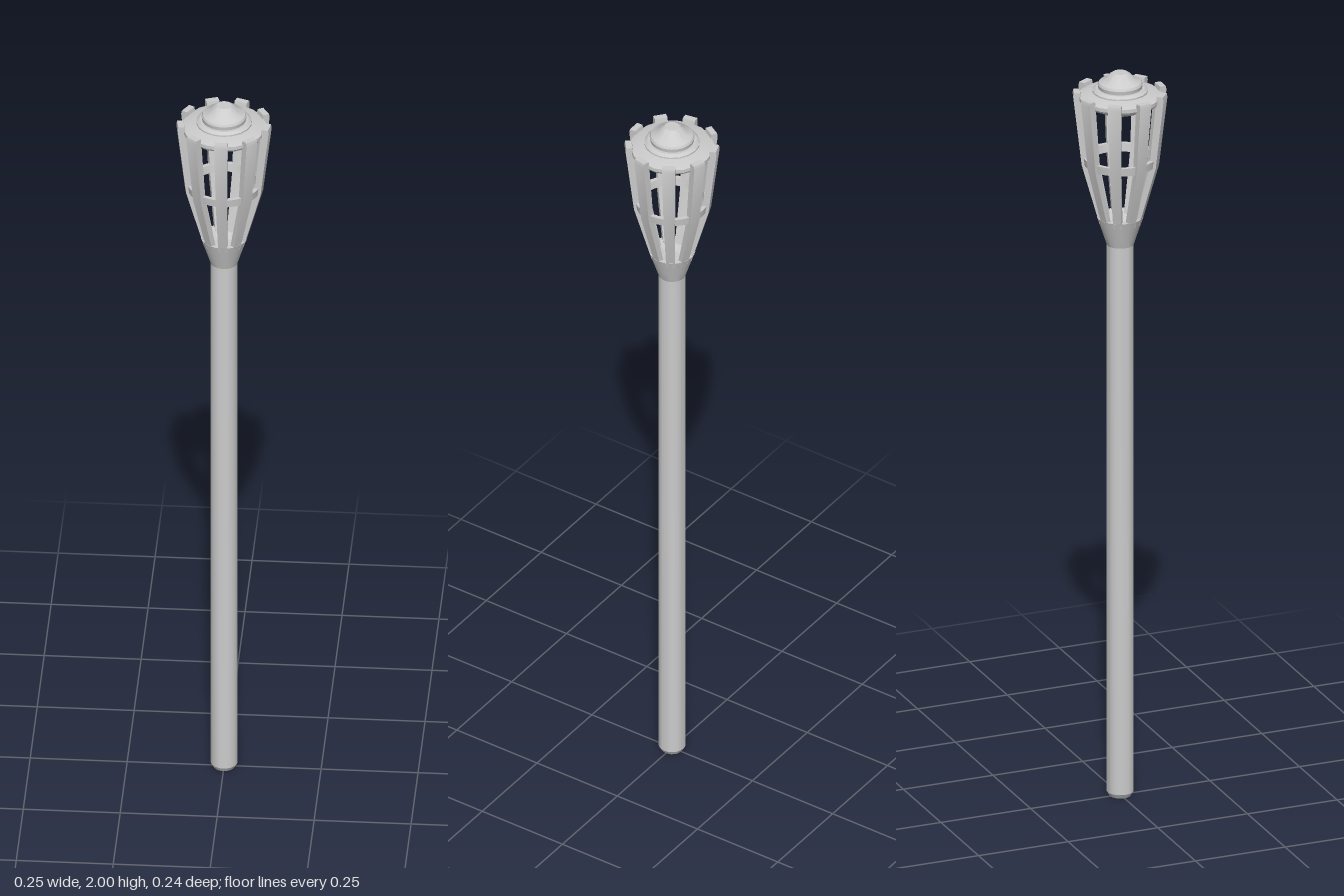
import * as THREE from 'three';
import { toCreasedNormals } from 'three/addons/utils/BufferGeometryUtils.js';

const SLATS = 9;

export function createModel() {
  const model = new THREE.Group();
  const material = new THREE.MeshStandardMaterial({ color: 0xcccccc });

  const add = (name, geometry, parent = model) => {
    const mesh = new THREE.Mesh(toCreasedNormals(geometry, 0.5), material);
    mesh.name = name;
    parent.add(mesh);
    return mesh;
  };
  // Profiles are [radius, height] pairs, listed from bottom to top on the outside
  const lathe = (points, sides) =>
    new THREE.LatheGeometry(points.map(([r, y]) => new THREE.Vector2(r, y)), sides);

  // Pole with a chamfered foot, flaring into a shallow bowl
  add('pole', lathe([[0, 0], [0.028, 0], [0.035, 0.012], [0.035, 1.53]], 24));
  add('flaredSocket', lathe([
    [0.035, 1.525], [0.043, 1.55], [0.06, 1.602], [0.05, 1.602], [0.03, 1.575], [0, 1.575],
  ], 24));

  // Open ring that ties the slats together halfway up
  add('middleRing', lathe([
    [0.082, 1.748], [0.093, 1.748], [0.096, 1.77], [0.085, 1.77], [0.082, 1.748],
  ], 36));

  // Bent slat: side profile extruded across its width, narrower at the foot
  const profile = new THREE.Shape([
    [0.04, 1.585], [0.054, 1.585], [0.1, 1.75], [0.122, 1.94],
    [0.12, 1.95], [0.104, 1.95], [0.102, 1.94], [0.083, 1.75],
  ].map(([r, y]) => new THREE.Vector2(r, y)));
  const width = 0.034;
  const slat = new THREE.ExtrudeGeometry(profile, { depth: width, bevelEnabled: false });
  slat.translate(0, 0, -width / 2).rotateY(-Math.PI / 2);
  const p = slat.attributes.position;
  for (let i = 0; i < p.count; i++) {
    const t = THREE.MathUtils.clamp((p.getY(i) - 1.585) / 0.3, 0, 1);
    p.setX(i, p.getX(i) * (0.65 + 0.35 * t));
  }
  slat.computeVertexNormals();

  const cage = new THREE.Group();
  cage.name = 'slatCage';
  model.add(cage);
  for (let i = 0; i < SLATS; i++) {
    add('slat', slat, cage).rotation.y = (i / SLATS) * Math.PI * 2;
  }

  // Gently sloped lid resting between the slat tops
  add('lid', lathe([
    [0, 1.922], [0.104, 1.922], [0.108, 1.928], [0.108, 1.938], [0.072, 1.948], [0, 1.948],
  ], 18));

  // Fuel canister hanging through the lid
  add('canister', lathe([
    [0, 1.9], [0.06, 1.9], [0.072, 1.912], [0.072, 1.952], [0.064, 1.958], [0, 1.958],
  ], 18));

  // Domed snuffer cap with a small flat knob
  add('snufferCap', lathe([
    [0.056, 1.955], [0.058, 1.968], [0.055, 1.974], [0.035, 1.985],
    [0.028, 1.994], [0.019, 2], [0, 2],
  ], 32));

  return model;
}
